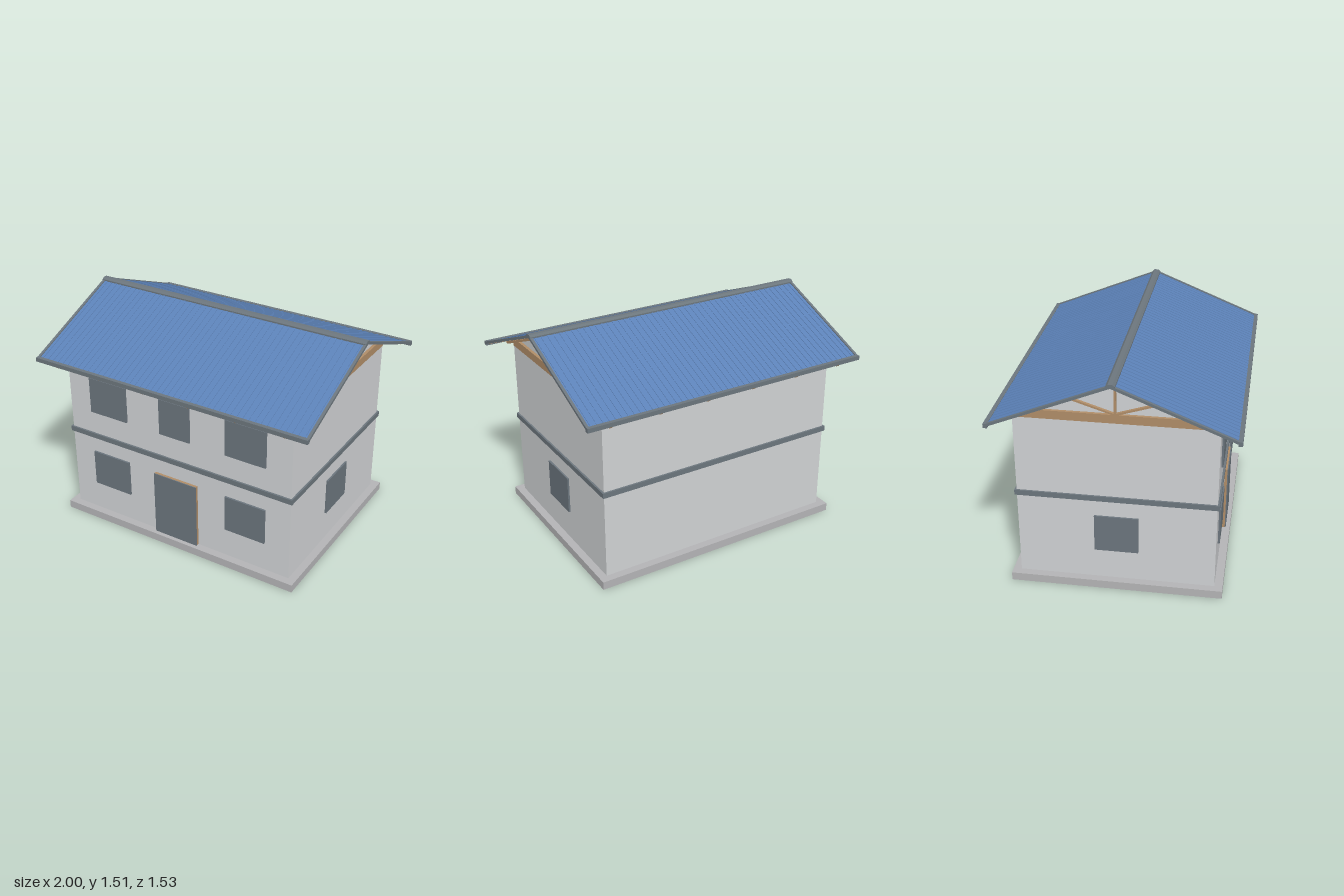
import * as THREE from 'three';

function mat(name, color) {
  const m = new THREE.MeshStandardMaterial({ color });
  m.name = name;
  return m;
}

export function createModel() {
  const house = new THREE.Group();
  house.name = 'house';
  const wall = mat('wall grey', 0xd0d2d4);
  const concrete = mat('concrete', 0xb4b4b6);
  const trim = mat('trim grey', 0x6c767d);
  const glass = mat('window grey', 0x6b757d);
  const blue = mat('roof blue', 0x5c82b8);
  const wood = mat('timber', 0xb08d68);
  const lining = mat('dark lining', 0x56585c);

  // Box given by its limits on each axis
  function box(parent, name, m, [x0, x1], [y0, y1], [z0, z1]) {
    const mesh = new THREE.Mesh(new THREE.BoxGeometry(x1 - x0, y1 - y0, z1 - z0), m);
    mesh.position.set((x0 + x1) / 2, (y0 + y1) / 2, (z0 + z1) / 2);
    mesh.name = name;
    parent.add(mesh);
    return mesh;
  }

  // Body
  box(house, 'baseSlab', concrete, [-0.895, 0.895], [0, 0.055], [-0.683, 0.683]);
  box(house, 'walls', wall, [-0.843, 0.843], [0.055, 1.18], [-0.63, 0.63]);
  box(house, 'floorBand', trim, [-0.855, 0.855], [0.63, 0.665], [-0.643, 0.643]);

  // Openings
  for (const [cx, hw, y] of [[-0.523, 0.146, 0.265], [0.52, 0.146, 0.265],
    [-0.523, 0.146, 0.83], [0.52, 0.146, 0.83], [-0.002, 0.115, 0.83]])
    box(house, 'frontWindow', glass, [cx - hw, cx + hw], [y, y + 0.254], [0.625, 0.643]);
  for (const s of [-1, 1])
    box(house, 'sideWindow', glass, [s * 0.848 - 0.007, s * 0.848 + 0.007], [0.265, 0.519], [-0.14, 0.14]);
  box(house, 'doorFrame', wood, [-0.165, 0.162], [0.055, 0.518], [0.625, 0.648]);
  box(house, 'doorLeaf', glass, [-0.165, 0.162], [0.055, 0.518], [0.648, 0.655]);

  // Timber plates on top of the walls
  for (const s of [-1, 1]) {
    box(house, 'eavePlate', wood, [-0.84, 0.84], [1.18, 1.202], [s * 0.605 - 0.02, s * 0.605 + 0.02]);
    box(house, 'gablePlate', wood, [s * 0.835 - 0.013, s * 0.835 + 0.013], [1.18, 1.202], [-0.625, 0.625]);
  }

  // Gable infill, set back behind the end trusses
  const gable = new THREE.Shape([[-0.61, 1.18], [0.61, 1.18], [0.61, 1.21], [0, 1.465], [-0.61, 1.21]]
    .map(([a, b]) => new THREE.Vector2(a, b)));
  for (const s of [-1, 1]) {
    const g = new THREE.Mesh(new THREE.ExtrudeGeometry(gable, { depth: 0.012, bevelEnabled: false }), wall);
    g.rotation.y = Math.PI / 2;
    g.position.x = s * 0.825 - 0.006;
    g.name = 'gableInfill';
    house.add(g);
  }

  // Roof slopes share one pitched frame, its origin at the top of the rafters
  const pitch = Math.atan(0.405);
  const apex = 1.482;
  const run = 0.755 / Math.cos(pitch);
  function slopeFrame(parent, side, name) {
    const turn = new THREE.Group();
    turn.rotation.y = side > 0 ? 0 : Math.PI;
    const frame = new THREE.Group();
    frame.position.y = apex;
    frame.rotation.x = pitch;
    frame.name = name;
    turn.add(frame);
    parent.add(turn);
    return frame;
  }

  // Trusses
  for (let i = 0; i < 6; i++) {
    const truss = new THREE.Group();
    truss.name = 'truss';
    truss.position.x = -0.84 + i * 0.336;
    const w = [-0.011, 0.011];
    box(truss, 'bottomChord', wood, w, [1.202, 1.238], [-0.61, 0.61]);
    box(truss, 'kingPost', wood, w, [1.23, 1.465], [-0.007, 0.007]);
    for (const s of [-1, 1]) {
      box(slopeFrame(truss, s, 'rafter'), 'topChord', wood, w, [-0.029, 0], [0, run - 0.005]);
      const web = box(truss, 'diagonalWeb', wood, w, [-0.006, 0.006], [-0.165, 0.165]);
      web.position.set(0, 1.287, s * 0.152);
      web.rotation.x = -s * Math.atan2(0.1, 0.31);
    }
    house.add(truss);
  }

  // Roof covering
  for (const s of [-1, 1]) {
    const f = slopeFrame(house, s, 'roofSlope');
    for (let i = 0; i < 7; i++) {
      const z = 0.04 + i * 0.122;
      box(f, 'purlin', wood, [-0.985, 0.985], [-0.004, 0.004], [z - 0.008, z + 0.008]);
    }
    box(f, 'roofLining', lining, [-0.99, 0.99], [0.003, 0.006], [0, run]);
    box(f, 'roofSheet', blue, [-0.99, 0.99], [0.006, 0.011], [0, run]);
    for (let i = 0; i < 48; i++) {
      const x = -0.964 + i * 0.041;
      box(f, 'roofRib', blue, [x - 0.006, x + 0.006], [0.01, 0.014], [0, run - 0.004]);
    }
    for (const e of [-1, 1])
      box(f, 'vergeTrim', trim, [e * 0.991 - 0.009, e * 0.991 + 0.009], [0, 0.017], [0, run]);
    box(house, 'eaveTrim', trim, [-1, 1], [1.17, 1.198], [s * 0.752 - 0.013, s * 0.752 + 0.013]);
  }

  // Faceted ridge cap
  const cap = new THREE.Shape([[-0.028, 1.484], [0.028, 1.484], [0.028, 1.494], [0.014, 1.506],
    [-0.014, 1.506], [-0.028, 1.494]].map(([a, b]) => new THREE.Vector2(a, b)));
  const ridge = new THREE.Mesh(new THREE.ExtrudeGeometry(cap, { depth: 2, bevelEnabled: false }), trim);
  ridge.rotation.y = Math.PI / 2;
  ridge.position.x = -1;
  ridge.name = 'ridgeCap';
  house.add(ridge);

  return house;
}
